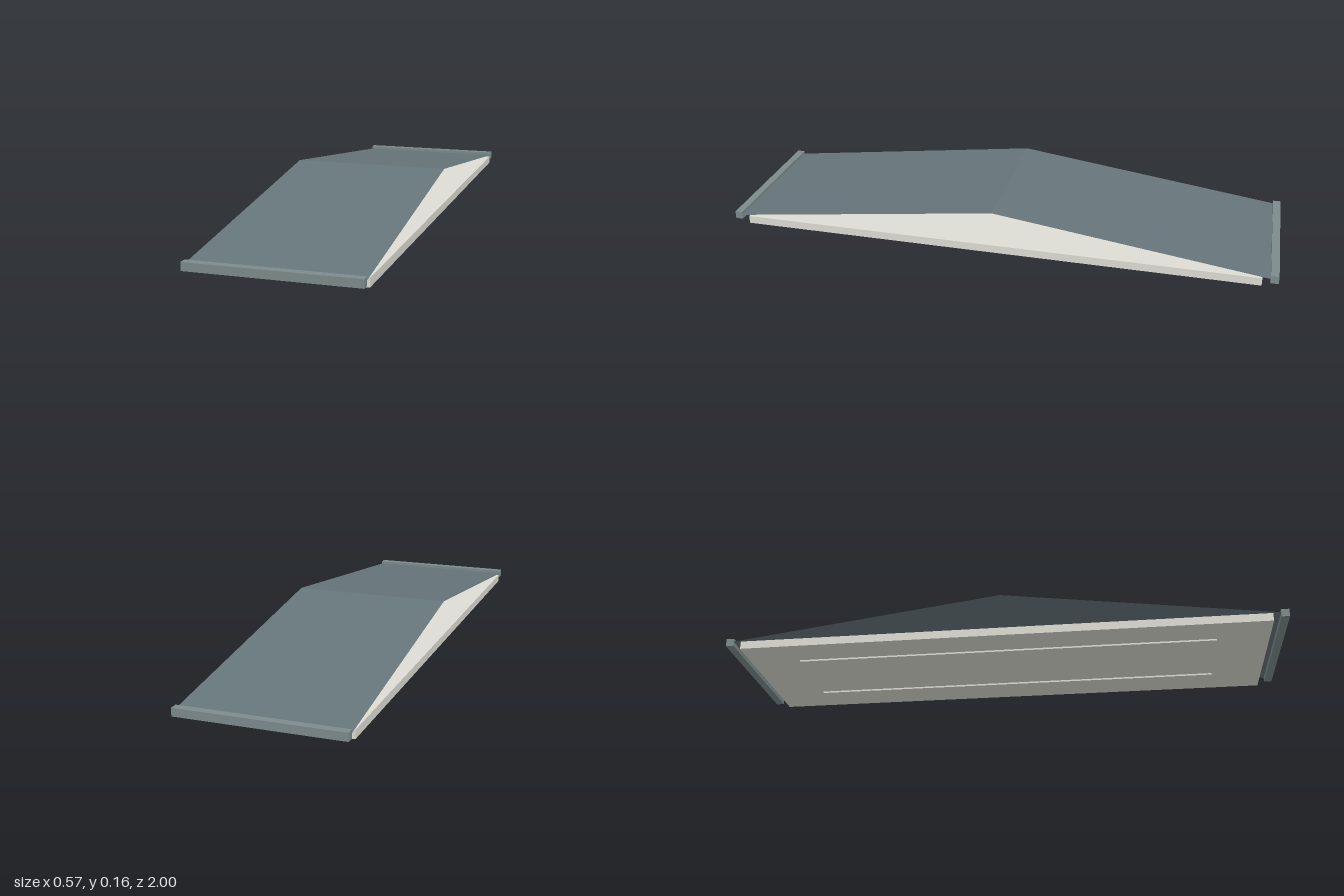
import * as THREE from 'three';

const WIDTH = 0.57;

export function createModel() {
  const model = new THREE.Group();
  const roofMat = new THREE.MeshStandardMaterial({ color: 0x66757a, side: THREE.DoubleSide });
  const gutterMat = new THREE.MeshStandardMaterial({ color: 0x7d8b8c });
  const slabMat = new THREE.MeshStandardMaterial({ color: 0xddddd4 });

  const add = (name, geometry, material, x, y, z) => {
    const mesh = new THREE.Mesh(geometry, material);
    mesh.name = name;
    mesh.position.set(x, y, z);
    model.add(mesh);
    return mesh;
  };

  // Flat ceiling slab under the roof
  add('ceilingSlab', new THREE.BoxGeometry(WIDTH, 0.029, 1.89), slabMat, 0, 0.0205, 0);

  // Two thin strips on the underside of the slab
  for (const side of [-1, 1]) {
    add(side > 0 ? 'leftStrip' : 'rightStrip',
      new THREE.BoxGeometry(0.02, 0.006, 1.52), slabMat, side * 0.152, 0.003, 0);
  }

  // Thin roof slopes, open at the gable ends, with a gutter along each eave
  const ridgeY = 0.165, eaveY = 0.035, eaveZ = 0.983;
  const slopeLength = Math.hypot(eaveZ, ridgeY - eaveY);
  const pitch = Math.atan2(ridgeY - eaveY, eaveZ);
  for (const side of [-1, 1]) {
    const label = side > 0 ? 'front' : 'back';
    const slope = new THREE.PlaneGeometry(WIDTH, slopeLength).rotateX(-Math.PI / 2);
    add(label + 'RoofSlope', slope, roofMat, 0, (ridgeY + eaveY) / 2, side * eaveZ / 2)
      .rotation.x = side * pitch;
    add(label + 'Gutter', new THREE.BoxGeometry(WIDTH, 0.028, 0.028), gutterMat, 0, 0.034, side * 0.986);
  }

  return model;
}
